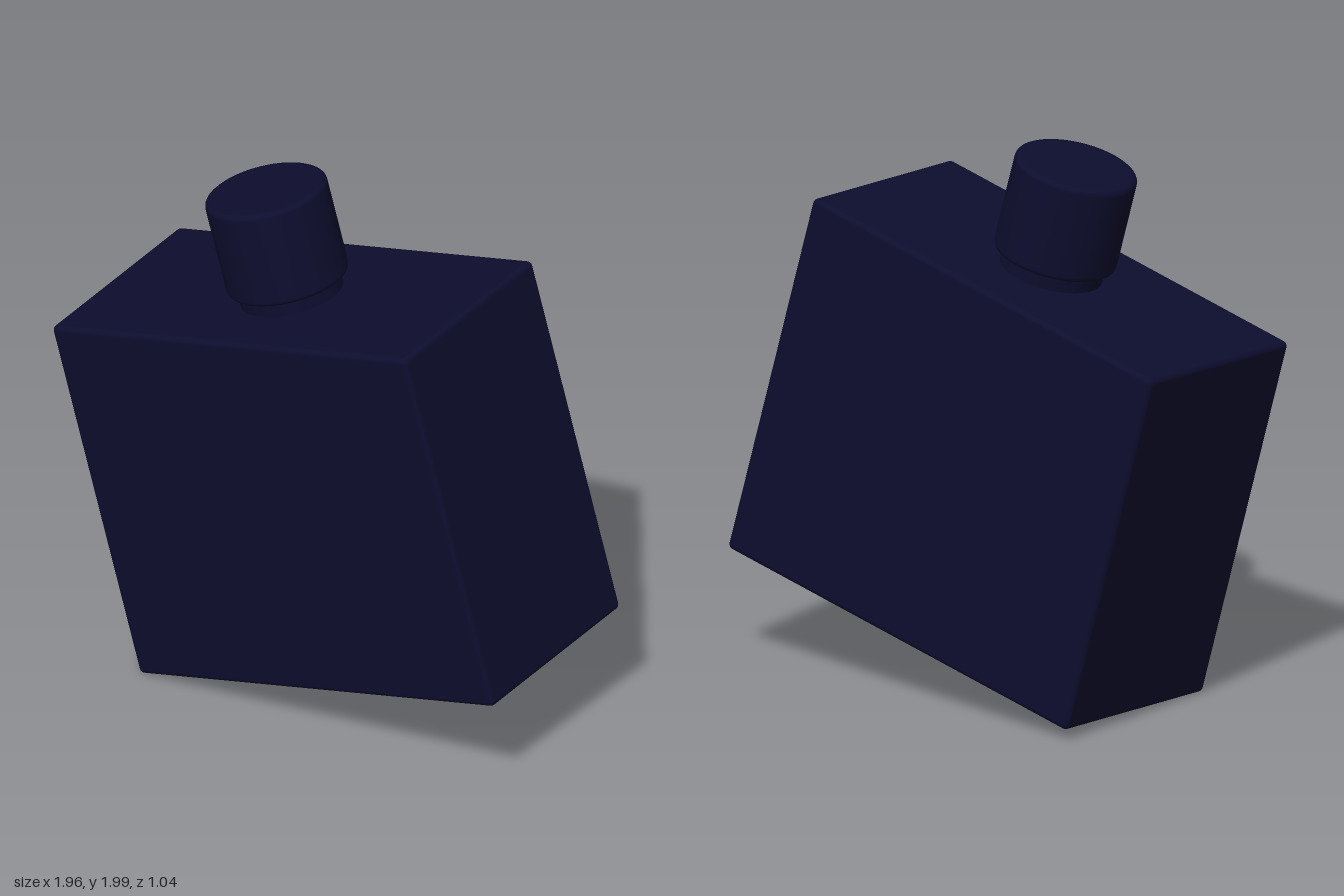
import * as THREE from 'three';
import { RoundedBoxGeometry } from 'three/addons/geometries/RoundedBoxGeometry.js';

// Closed turned part with softened rims, running from y0 to y1
function turned(radius, y0, y1, bevel) {
  const pts = [[0, y0], [radius - bevel, y0]];
  for (const [cy, start] of [[y0 + bevel, -Math.PI / 2], [y1 - bevel, 0]]) {
    for (let i = 0; i <= 4; i++) {
      const a = start + (i / 4) * Math.PI / 2;
      pts.push([radius - bevel + bevel * Math.cos(a), cy + bevel * Math.sin(a)]);
    }
  }
  pts.push([radius - bevel, y1 - 0.0005], [0, y1]);
  return new THREE.LatheGeometry(pts.map(([x, y]) => new THREE.Vector2(x, y)), 64);
}

export function createModel() {
  const navy = new THREE.MeshStandardMaterial({ color: 0x0d0d2e });
  navy.name = 'dark navy';

  const bottle = new THREE.Group();
  bottle.name = 'bottle';
  const add = (name, geometry) => {
    const mesh = new THREE.Mesh(geometry, navy);
    mesh.name = name;
    bottle.add(mesh);
  };

  // Rectangular body, centred on the bottle's own origin
  add('body', new RoundedBoxGeometry(1.585, 1.375, 0.785, 4, 0.02));
  // Short neck between the body and the cap
  add('neck', turned(0.185, 0.67, 0.76, 0.008));
  // Cylindrical cap
  add('cap', turned(0.221, 0.742, 1.1, 0.02));

  // The whole bottle leans and is turned slightly
  bottle.rotation.set(0.052, -0.15, 0.252);
  bottle.position.y = 0.876;

  const model = new THREE.Group();
  model.name = 'tiltedBottle';
  model.add(bottle);
  return model;
}
